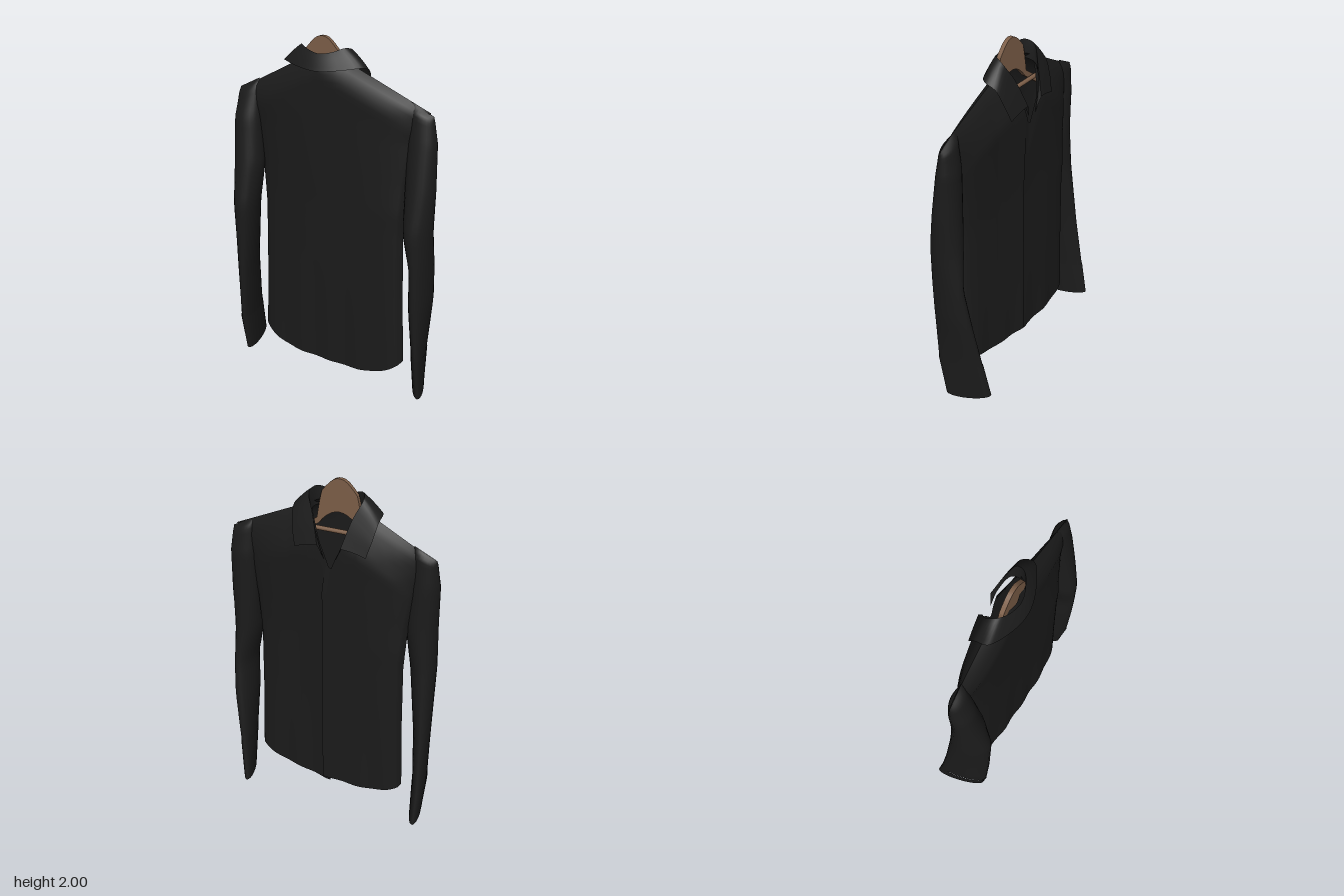
import * as THREE from 'three';
import { mergeVertices } from 'three/addons/utils/BufferGeometryUtils.js';

const cloth = new THREE.MeshStandardMaterial({ color: 0x1b1b1b, side: THREE.DoubleSide });
cloth.name = 'black cloth';
const wood = new THREE.MeshStandardMaterial({ color: 0x7c5e48 });
wood.name = 'brown wood';

const NECK = -0.04; // the neck sits slightly off centre
const { lerp, clamp } = THREE.MathUtils;

// Smooth sheet from a rule fn(s, t) -> [x, y, z]
function sheet(name, nu, nv, fn) {
  const pos = [], idx = [];
  for (let j = 0; j <= nv; j++)
    for (let i = 0; i <= nu; i++) pos.push(...fn(i / nu, j / nv));
  for (let j = 0; j < nv; j++)
    for (let i = 0; i < nu; i++) {
      const a = j * (nu + 1) + i, b = a + nu + 1;
      idx.push(a, b, a + 1, b, b + 1, a + 1);
    }
  let g = new THREE.BufferGeometry();
  g.setAttribute('position', new THREE.Float32BufferAttribute(pos, 3));
  g.setIndex(idx);
  g = mergeVertices(g, 1e-5);
  g.computeVertexNormals();
  const m = new THREE.Mesh(g, cloth);
  m.name = name;
  return m;
}

// Interpolates rows of [y, ...values] listed from top to bottom
function track(keys, y) {
  let k = 0;
  while (k < keys.length - 2 && y < keys[k + 1][0]) k++;
  const a = keys[k], b = keys[k + 1];
  const f = clamp((a[0] - y) / (a[0] - b[0]), 0, 1);
  return a.slice(1).map((v, i) => lerp(v, b[i + 1], f));
}

const halfWidths = [[1.66, 0.57], [1.5, 0.5], [1.25, 0.463], [1, 0.448], [0.6, 0.456], [0.2, 0.472]];
const shoulder = (x) => {
  const d = Math.abs(x - NECK), end = x < 0 ? 0.53 : 0.61;
  return d < 0.15 ? 1.86 + 0.5 * (0.15 - d) : lerp(1.86, 1.66, (d - 0.15) / (end - 0.15));
};

// Point on the torso: u across (-1..1), t from top to hem, side +1 back, -1 buttoned front
function torso(u, t, side) {
  const x0 = u * 0.57, dx = Math.abs(x0 - NECK);
  let top = shoulder(x0);
  if (dx < 0.15) top = side > 0 ? Math.min(top, 1.875) : 1.52 + 0.34 * Math.pow(dx / 0.15, 0.85);
  const edge = u ** 4;
  const hem = side > 0 ? 0.105 + 0.105 * edge : 0.15 + 0.06 * edge;
  const y = lerp(top, hem, t);
  const x = u * track(halfWidths, y)[0];
  const drop = Math.max(0, shoulder(x0) - y);
  const low = clamp((1.6 - y) / 0.5, 0, 1);
  const full = Math.pow(Math.max(0, 1 - Math.abs(u) ** 3), lerp(0.6, 0.34, low));
  const puff = side > 0 ? Math.min(1, drop / 0.12) ** 0.5 : Math.min(1, drop / 0.22) ** 0.7;
  // the left front lies flatter
  const front = lerp(0.095, 0.08, low) - 0.018 * clamp(u * 2.5, 0, 1);
  const depth = side > 0 ? 0.075 : front;
  const fold = 0.004 * Math.sin(u * 15 + side) * clamp((0.75 - y) / 0.6, 0, 1);
  // the lower body hangs slightly twisted
  return [x, y, 0.025 + lerp(0.04, 0.1, low) * x + (side * depth * puff + fold) * full];
}

// Sleeve rows: y, front edge x z, rear edge x z, half thickness, slant across x
const rightSleeve = [
  [1.69, -0.53, 0.003, -0.53, 0.005, 0.062, 0.5],
  [1.66, -0.53, -0.022, -0.53, 0.045, 0.066, 0.4],
  [1.5, -0.53, -0.035, -0.53, 0.098, 0.08, 0],
  [1.25, -0.535, -0.04, -0.505, 0.135, 0.088, 0],
  [1.0, -0.565, -0.045, -0.51, 0.175, 0.074, 0],
  [0.6, -0.588, -0.087, -0.53, 0.165, 0.05, 0],
  [0.27, -0.6, -0.135, -0.545, 0.145, 0.04, 0],
  [0.055, -0.598, -0.172, -0.54, 0.11, 0.03, -0.25]];
const leftSleeve = [
  [1.675, 0.525, 0.045, 0.525, 0.047, 0.062, -0.5],
  [1.645, 0.525, 0.01, 0.525, 0.078, 0.066, -0.4],
  [1.5, 0.53, -0.012, 0.53, 0.102, 0.08, 0],
  [1.25, 0.54, -0.015, 0.53, 0.14, 0.083, 0],
  [1.02, 0.55, -0.02, 0.52, 0.175, 0.076, 0],
  [0.8, 0.575, -0.04, 0.545, 0.17, 0.05, 0],
  [0.6, 0.56, -0.07, 0.55, 0.165, 0.055, 0],
  [0.27, 0.515, -0.115, 0.57, 0.145, 0.038, 0],
  [0.018, 0.486, -0.148, 0.574, 0.1, 0.03, -0.28]];

function tubeOf(name, keys, yTop, yEnd, grow) {
  return sheet(name, 24, 36, (s, t) => {
    const y = lerp(yTop, yEnd, t ** 1.4), a = s * Math.PI * 2;
    const [xf, zf, xb, zb, th, slant] = track(keys, y);
    const dx = xb - xf, dz = zb - zf, len = Math.hypot(dx, dz);
    const c = Math.cos(a) * (0.5 + grow / len), n = Math.sin(a) * (th + grow);
    const x = (xf + xb) / 2 + dx * c + (dz / len) * n;
    const z = (zf + zb) / 2 + dz * c - (dx / len) * n;
    return [x, y + slant * (x - (xf + xb) / 2), z];
  });
}

// Full mirrored curve around the neck from one half, front to back centre
function around(half) {
  const pts = half.map(([x, y, z]) => new THREE.Vector3(NECK - x, y, z));
  const other = half.slice(0, -1).reverse().map(([x, y, z]) => new THREE.Vector3(NECK + x, y, z));
  return new THREE.CatmullRomCurve3([...pts, ...other]);
}

function collar() {
  const g = new THREE.Group();
  g.name = 'collar';
  const stand = around([[0.03, 1.6, -0.085], [0.08, 1.71, -0.07], [0.135, 1.82, -0.02], [0.13, 1.84, 0.04], [0.08, 1.84, 0.08], [0, 1.83, 0.09]]);
  const fold = around([[0.065, 1.68, -0.1], [0.11, 1.83, -0.05], [0.15, 1.925, 0], [0.13, 1.945, 0.05], [0.07, 1.925, 0.085], [0, 1.913, 0.1]]);
  const edge = around([[0.2, 1.645, -0.085], [0.225, 1.74, -0.055], [0.24, 1.82, -0.015], [0.24, 1.85, 0.05], [0.12, 1.838, 0.118], [0, 1.828, 0.142]]);
  const strip = (name, from, to, bulge) => sheet(name, 50, 5, (s, t) => {
    const p = from.getPoint(s).lerp(to.getPoint(s), t);
    return [p.x, p.y + bulge * Math.sin(Math.PI * t), p.z];
  });
  g.add(strip('collarStand', stand, fold, 0), strip('collarFall', fold, edge, 0.006));
  return g;
}

function hanger() {
  const g = new THREE.Group();
  g.name = 'hanger';
  // Bell-shaped body with short sloping arms, drawn around its own centre
  const s = new THREE.Shape();
  s.moveTo(-0.3, 1.65);
  s.lineTo(-0.13, 1.77);
  s.quadraticCurveTo(-0.115, 1.87, -0.1, 1.925);
  s.bezierCurveTo(-0.05, 1.985, -0.03, 2, 0, 2);
  s.bezierCurveTo(0.03, 2, 0.05, 1.985, 0.1, 1.925);
  s.quadraticCurveTo(0.115, 1.87, 0.13, 1.77);
  s.lineTo(0.3, 1.65);
  s.lineTo(0.29, 1.62);
  s.lineTo(0.12, 1.74);
  s.quadraticCurveTo(0, 1.9, -0.12, 1.74);
  s.lineTo(-0.29, 1.62);
  const body = new THREE.Mesh(new THREE.ExtrudeGeometry(s, { depth: 0.024, bevelEnabled: false, curveSegments: 10 }), wood);
  body.position.z = 0.04;
  body.name = 'hangerBody';
  // Lower rail
  const rail = new THREE.Mesh(new THREE.CylinderGeometry(0.012, 0.012, 0.5, 12), wood);
  rail.rotation.z = Math.PI / 2;
  rail.position.set(0, 1.72, 0.025);
  rail.name = 'hangerRail';
  g.add(body, rail);
  g.position.x = NECK;
  g.rotation.y = -0.045;
  return g;
}

export function createModel() {
  const model = new THREE.Group();
  model.name = 'shirtOnHanger';
  model.add(sheet('backPanel', 60, 50, (s, t) => torso(s * 2 - 1, t, 1)));
  // Front halves overlap at the button edge
  model.add(sheet('frontPanelRight', 36, 50, (s, t) => {
    const p = torso(lerp(-1, -0.03, s), t, -1);
    const lap = Math.min(1, t * 8);
    p[2] -= 0.008 * s * lap;
    p[0] += 0.025 * s ** 6 * lap;
    return p;
  }));
  model.add(sheet('frontPanelLeft', 36, 50, (s, t) => {
    const p = torso(lerp(-0.08, 1, s), t, -1);
    p[1] -= 0.02 * (1 - s) * t;
    return p;
  }));
  model.add(tubeOf('rightSleeve', rightSleeve, 1.69, 0.25, 0));
  model.add(tubeOf('leftSleeve', leftSleeve, 1.675, 0.25, 0));
  model.add(tubeOf('rightCuff', rightSleeve, 0.27, 0.055, 0.003));
  model.add(tubeOf('leftCuff', leftSleeve, 0.27, 0.018, 0.003));
  model.add(collar(), hanger());
  return model;
}
